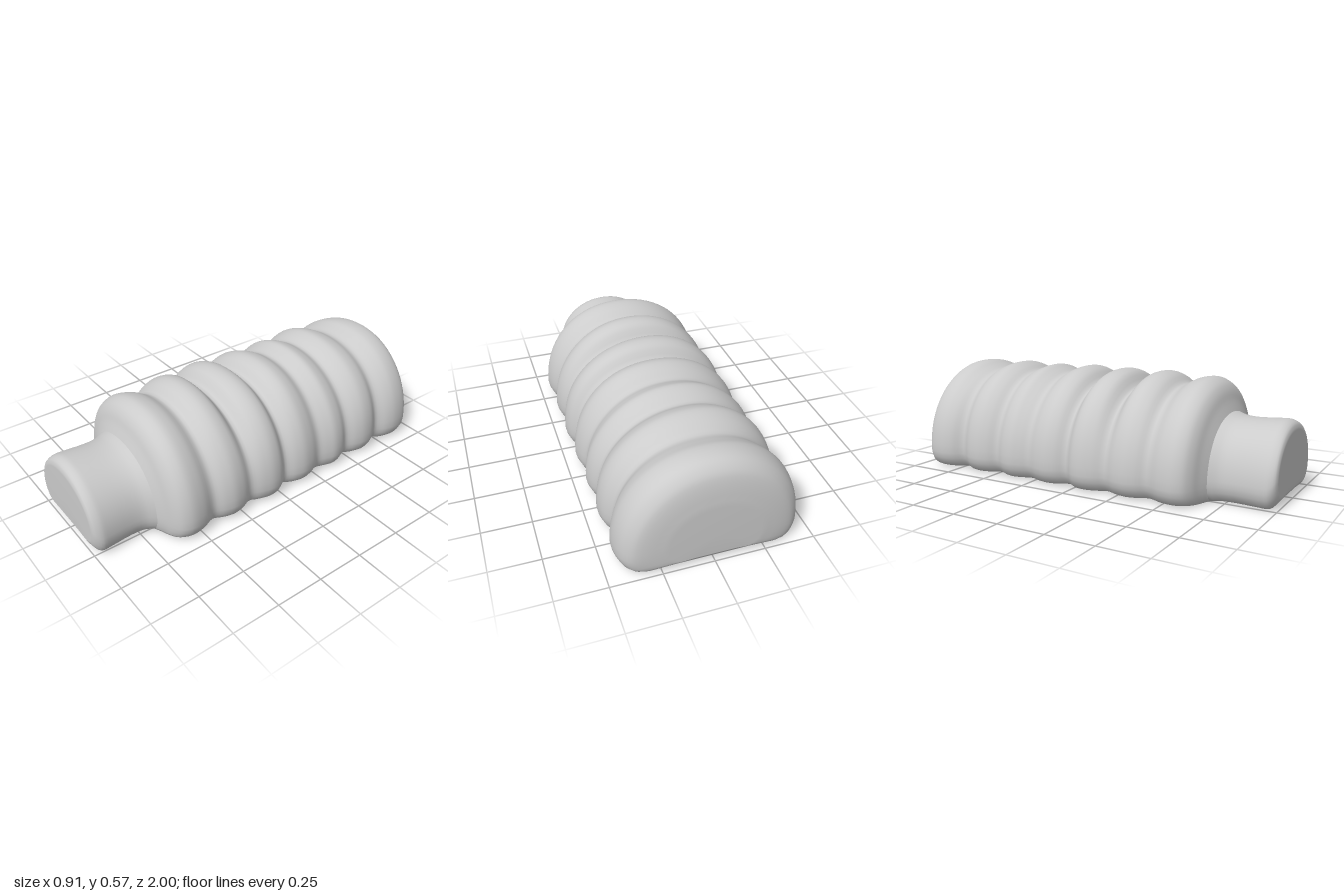
import * as THREE from 'three';

const SIDES = 40; // steps over the arch

// Arched cross-section with a flat, round-cornered underside, counterclockwise from the front
function section(w, h, z) {
  const base = 0.012 + 0.05 * Math.max(0, (Math.abs(z) - 0.95) / 0.05) ** 2;
  const knee = base + 0.085;
  const pts = [];
  for (let i = 0; i <= SIDES; i++) {
    const a = (i / SIDES) * Math.PI;
    const c = Math.cos(a), s = Math.sin(a), e = 2 / 2.1;
    // slight hand-shaped unevenness along the length
    const wobble = 1 + 0.008 * Math.sin(9 * z + 3 * a) * s;
    pts.push([
      w * Math.sign(c) * Math.abs(c) ** e * wobble,
      knee + (h - knee) * Math.max(s, 0) ** e * wobble,
    ]);
  }
  const corner = [[0.006, 0.055], [0.02, 0.025], [0.04, 0.008], [0.07, 0]];
  const under = [0.6, 0.2, -0.2, -0.6];
  for (const [inset, y] of corner) pts.push([-(w - inset), base + y]);
  for (const t of [...under]) pts.push([-t * (w - 0.07), base + 0.004]);
  for (const [inset, y] of corner.reverse()) pts.push([w - inset, base + y]);
  return pts;
}

// Skin sections along smooth [z, halfWidth, height] stations, ordered front to back
function loft(name, stations, steps, capFront, capBack, material) {
  const curve = new THREE.CatmullRomCurve3(
    stations.map(([z, w, h]) => new THREE.Vector3(w, h, z)), false, 'centripetal');
  const rings = curve.getPoints((stations.length - 1) * steps);
  const pos = [], idx = [];
  let n = 0;
  for (const p of rings) {
    const pts = section(p.x, p.y, p.z);
    n = pts.length;
    for (const [x, y] of pts) pos.push(x, y, p.z);
  }
  for (let i = 0; i < rings.length - 1; i++) {
    for (let j = 0; j < n; j++) {
      const a = i * n + j, b = i * n + (j + 1) % n;
      idx.push(a, a + n, b, b, a + n, b + n);
    }
  }
  const cap = (ring, front) => {
    const p = rings[ring], c = pos.length / 3;
    pos.push(0, p.y * 0.5, p.z);
    for (let j = 0; j < n; j++) {
      const a = ring * n + j, b = ring * n + (j + 1) % n;
      if (front) idx.push(c, a, b);
      else idx.push(c, b, a);
    }
  };
  if (capFront) cap(0, true);
  if (capBack) cap(rings.length - 1, false);
  const geo = new THREE.BufferGeometry();
  geo.setAttribute('position', new THREE.Float32BufferAttribute(pos, 3));
  geo.setIndex(idx);
  geo.computeVertexNormals();
  const mesh = new THREE.Mesh(geo, material);
  mesh.name = name;
  return mesh;
}

export function createModel() {
  const material = new THREE.MeshStandardMaterial({ color: 0xcccccc });
  const group = new THREE.Group();
  group.name = 'ribbedArch';

  // Narrow front end, flaring where it meets the body
  const neck = [
    [1, 0.24, 0.345], [0.99, 0.268, 0.375], [0.96, 0.286, 0.392], [0.92, 0.284, 0.393],
    [0.8, 0.274, 0.388], [0.73, 0.28, 0.392], [0.68, 0.305, 0.405],
  ];

  // Front shoulder, seven ribs with tight grooves, rounded back end
  const body = [
    [0.68, 0.305, 0.405], [0.66, 0.35, 0.455], [0.64, 0.40, 0.51], [0.61, 0.437, 0.547],
  ];
  const ribs = [
    [0.56, 0.455, 0.568], [0.31, 0.453, 0.578], [0.07, 0.455, 0.582], [-0.15, 0.45, 0.578],
    [-0.37, 0.447, 0.568], [-0.59, 0.448, 0.577], [-0.84, 0.448, 0.566],
  ];
  const grooves = [
    [0.42, 0.418, 0.518], [0.19, 0.42, 0.5], [-0.04, 0.412, 0.512],
    [-0.27, 0.42, 0.532], [-0.48, 0.412, 0.53], [-0.72, 0.405, 0.532],
  ];
  ribs.forEach(([z, w, h], i) => {
    body.push([z, w, h]);
    const g = grooves[i];
    if (!g) return;
    const next = ribs[i + 1];
    body.push([z + (g[0] - z) * 0.5, w - 0.01, h - 0.014]);
    body.push(g);
    body.push([g[0] + (next[0] - g[0]) * 0.5, next[1] - 0.012, next[2] - 0.018]);
  });
  body.push([-0.92, 0.432, 0.555], [-0.965, 0.395, 0.515], [-0.985, 0.345, 0.46], [-1, 0.22, 0.34]);

  group.add(loft('neck', neck, 3, true, false, material));
  group.add(loft('ribbedBody', body, 4, false, true, material));
  return group;
}
